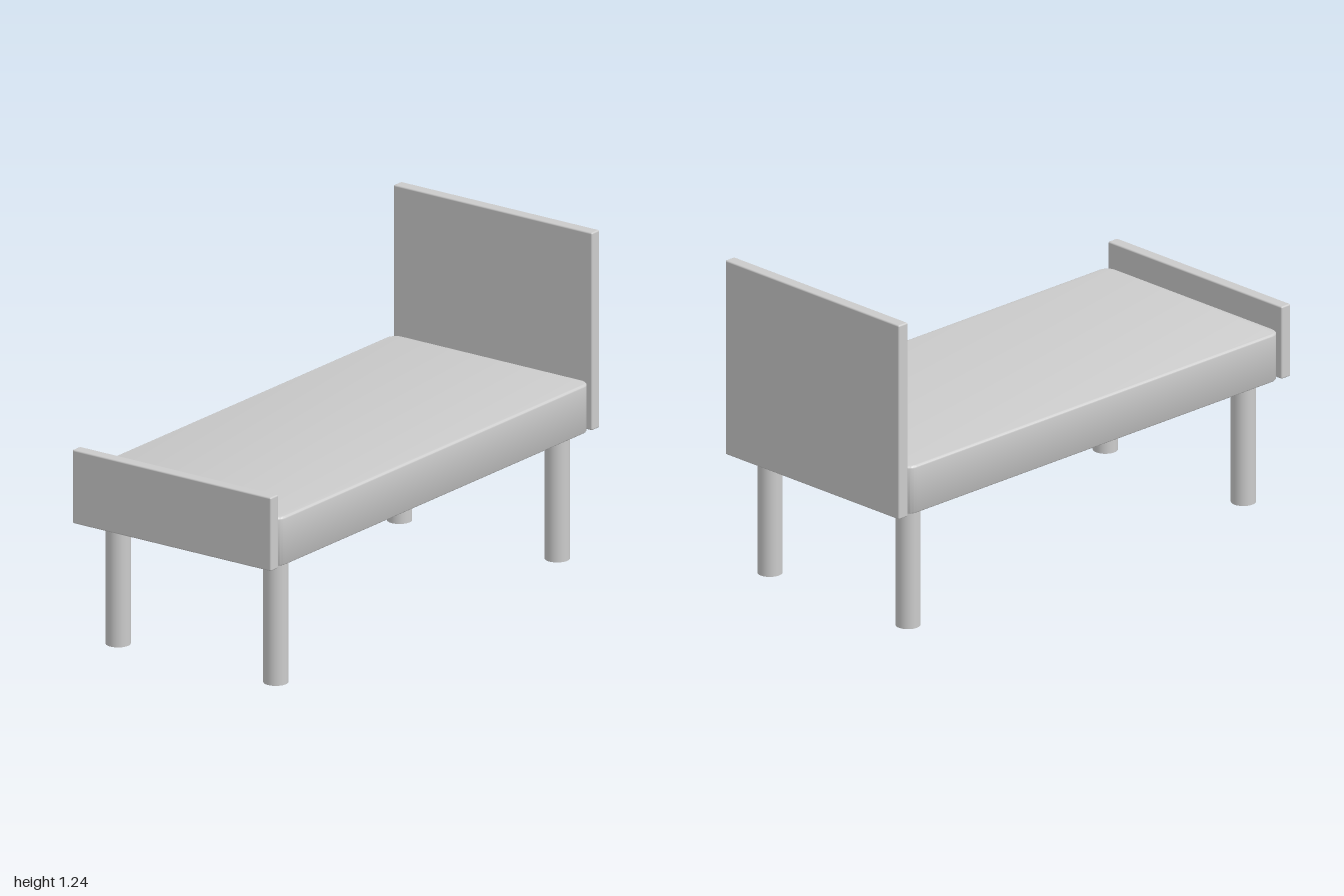
import * as THREE from 'three';
import { RoundedBoxGeometry } from 'three/addons/geometries/RoundedBoxGeometry.js';
import { toCreasedNormals } from 'three/addons/utils/BufferGeometryUtils.js';

const BASE = 0.48; // underside of the bed, top of the legs
const HALF_DEPTH = 0.45;

// Slab with rounded plan corners and softly bevelled top and bottom edges
function roundedSlab(halfX, halfZ, height, radius, bevel) {
  const x = halfX - bevel, z = halfZ - bevel, r = radius - bevel;
  const shape = new THREE.Shape();
  shape.absarc(x - r, z - r, r, 0, Math.PI / 2);
  shape.absarc(-x + r, z - r, r, Math.PI / 2, Math.PI);
  shape.absarc(-x + r, -z + r, r, Math.PI, Math.PI * 1.5);
  shape.absarc(x - r, -z + r, r, Math.PI * 1.5, Math.PI * 2);
  shape.closePath();
  const geometry = new THREE.ExtrudeGeometry(shape, {
    depth: height - 2 * bevel,
    bevelEnabled: true,
    bevelThickness: bevel,
    bevelSize: bevel,
    bevelSegments: 4,
    curveSegments: 8,
  });
  geometry.translate(0, 0, bevel);
  geometry.rotateX(-Math.PI / 2);
  return toCreasedNormals(geometry, Math.PI / 5);
}

export function createModel() {
  const bed = new THREE.Group();
  bed.name = 'bed';
  const material = new THREE.MeshStandardMaterial({ color: 0xcccccc });

  const add = (name, geometry, x, y, z) => {
    const mesh = new THREE.Mesh(geometry, material);
    mesh.name = name;
    mesh.position.set(x, y, z);
    bed.add(mesh);
  };

  // Mattress
  add('mattress', roundedSlab(0.951, HALF_DEPTH, 0.188, 0.045, 0.01), 0, BASE, 0);

  // Upright end boards with slightly eased edges
  const addBoard = (name, x, top) => {
    const height = top - BASE;
    const geometry = new RoundedBoxGeometry(0.047, height, HALF_DEPTH * 2, 3, 0.006);
    add(name, geometry, x, BASE + height / 2, 0);
  };
  addBoard('headboard', 0.9765, 1.24);
  addBoard('footboard', -0.9765, 0.763);

  // Four round legs
  const legGeometry = new THREE.CylinderGeometry(0.046, 0.046, BASE, 32);
  for (const [end, x] of [['head', 0.853], ['foot', -0.858]]) {
    for (const [side, z] of [['Front', 0.367], ['Back', -0.348]]) {
      add(`${end}${side}Leg`, legGeometry, x, BASE / 2, z);
    }
  }

  return bed;
}
